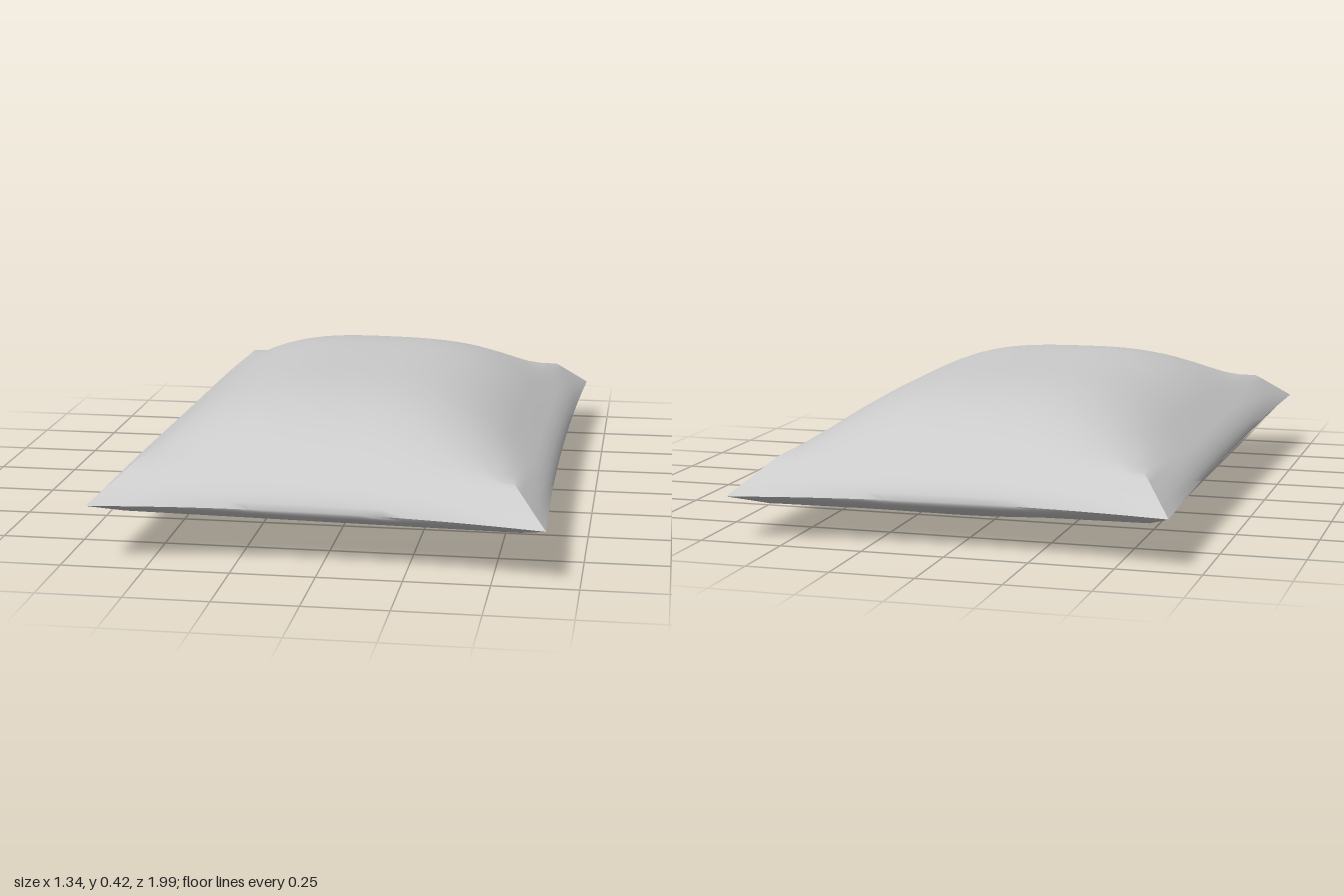
import * as THREE from 'three';
import { toCreasedNormals } from 'three/addons/utils/BufferGeometryUtils.js';

const SIDE = 20;       // segments along each edge
const PANEL = 12;      // rings across a domed panel
const SKIRT = 5;       // rings from the panel edge to the seam

// Domed panels: half width, half depth, edge height, centre height, curve powers
const TOP = { w: 0.56, d: 0.85, edge: 0.25, mid: 0.42, px: 3, pz: 3.6 };
const BOTTOM = { w: 0.58, d: 0.87, edge: 0.113, mid: 0.001, px: 2.1, pz: 2.5 };
const SEAM_Y = 0.157;

// Point on a panel; u and v run from -1 to 1
function panelPoint(p, u, v) {
  const dome = (1 - Math.abs(u) ** p.px) * (1 - Math.abs(v) ** p.pz);
  return new THREE.Vector3(p.w * u, p.edge + (p.mid - p.edge) * dome, p.d * v);
}

// Seam outline: edges curve inwards, corners stick out
function seamPoint(a, b) {
  return new THREE.Vector3(a * (0.642 + 0.02 * b * b), SEAM_Y, b * (0.932 + 0.062 * a * a));
}

// Skirt between panel and seam, bulging at mid edge and pinched at the corners
function skirtPoint(p, a, b, t) {
  const point = panelPoint(p, a, b).lerp(seamPoint(a, b), t);
  const corner = Math.min(Math.abs(a), Math.abs(b)) ** 4;
  const bulge = 0.06 * t * (1 - t) * (1 - corner);
  if (Math.abs(a) > Math.abs(b)) point.x += Math.sign(a) * bulge;
  else point.z += Math.sign(b) * bulge;
  return point;
}

// Slight tilt and skew of the whole cushion
function settle(p) {
  const { x, z } = p;
  p.x -= 0.01 * z;
  p.y += 0.015 * z - 0.011 * x;
  p.z += 0.005 * x;
  return p;
}

export function createModel() {
  // Walk around a square
  const perimeter = [];
  for (let s = 0; s < 4; s++) {
    for (let i = 0; i < SIDE; i++) {
      let a = 1, b = -1 + (2 * i) / SIDE;
      for (let r = 0; r < s; r++) [a, b] = [-b, a];
      perimeter.push([a, b]);
    }
  }

  // Rings from the top centre over the seam to the bottom centre
  const rings = [];
  for (let i = 0; i <= PANEL; i++) rings.push((a, b) => panelPoint(TOP, a * i / PANEL, b * i / PANEL));
  for (let i = 1; i <= SKIRT; i++) rings.push((a, b) => skirtPoint(TOP, a, b, i / SKIRT));
  for (let i = SKIRT - 1; i >= 1; i--) rings.push((a, b) => skirtPoint(BOTTOM, a, b, i / SKIRT));
  for (let i = PANEL; i >= 0; i--) rings.push((a, b) => panelPoint(BOTTOM, a * i / PANEL, b * i / PANEL));

  const positions = [], index = [], n = perimeter.length;
  rings.forEach((ring, r) => {
    perimeter.forEach(([a, b], j) => {
      positions.push(...settle(ring(a, b)).toArray());
      if (r === rings.length - 1) return;
      const k = (j + 1) % n, p = r * n, q = p + n;
      if (r > 0) index.push(p + j, p + k, q + j);
      if (r < rings.length - 2) index.push(p + k, q + k, q + j);
    });
  });

  const geometry = new THREE.BufferGeometry();
  geometry.setAttribute('position', new THREE.Float32BufferAttribute(positions, 3));
  geometry.setIndex(index);

  const cushion = new THREE.Mesh(
    toCreasedNormals(geometry, 0.8),
    new THREE.MeshStandardMaterial({ color: 0xcccccc })
  );
  cushion.name = 'cushion';

  const group = new THREE.Group();
  group.name = 'pillow';
  group.add(cushion);
  return group;
}
